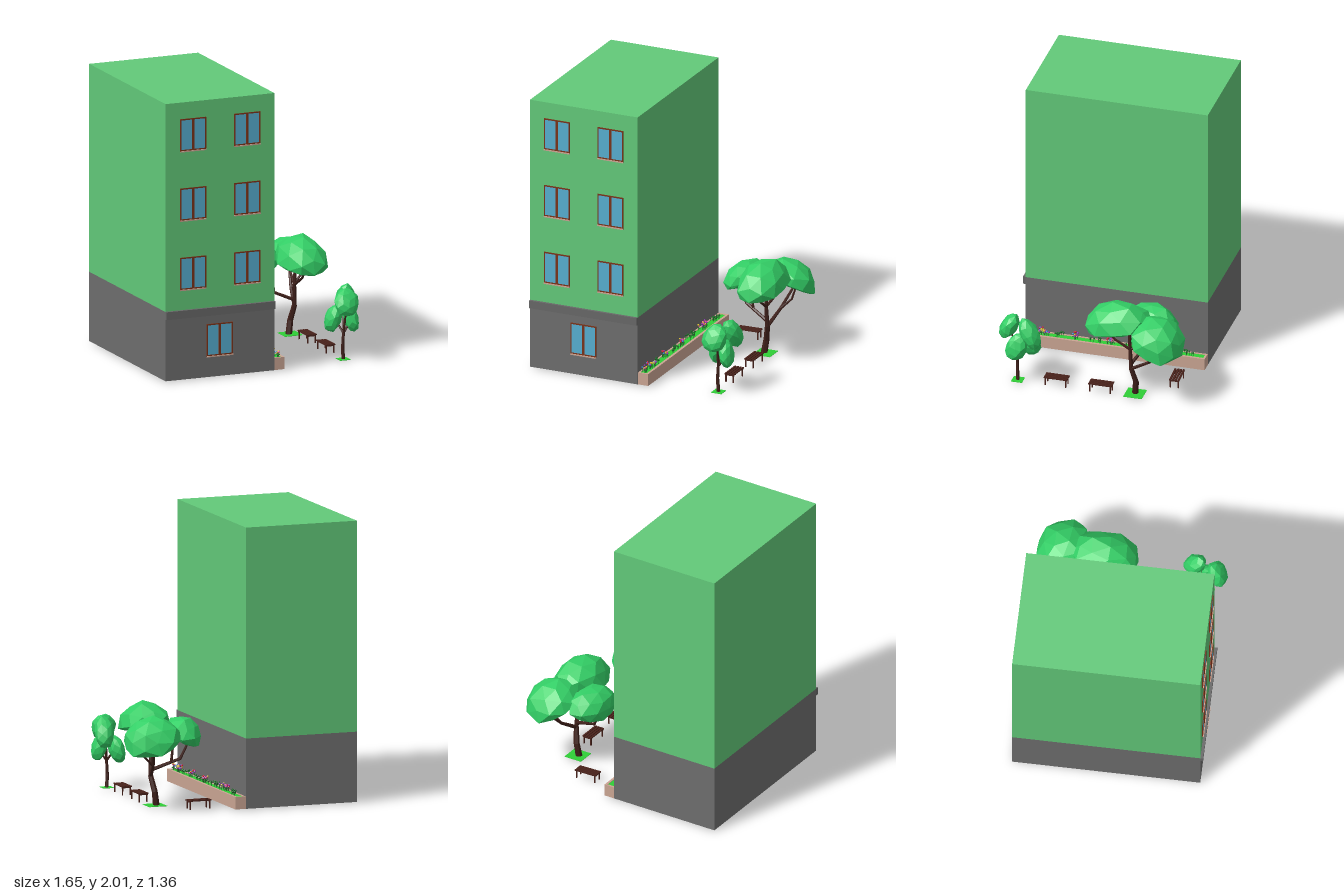
import * as THREE from 'three';

const mat = (color, flatShading = false) => {
  const m = new THREE.MeshStandardMaterial({ color });
  m.flatShading = flatShading;
  return m;
};
const M = {
  wall: mat(0x62c979), plinth: mat(0x6e6e6e), ledge: mat(0x686868),
  frame: mat(0x7a3218), glass: mat(0x57aed0), stone: mat(0xcaa593),
  grass: mat(0x2fcf36), bench: mat(0x4a221b), bark: mat(0x40201a, true),
  leaf: mat(0x33cf66, true), stem: mat(0x1f6b2a, true),
};
const PETALS = [0xd8213f, 0x9a35c8, 0xe0559a, 0x3d8fe0, 0xe0c030].map(c => mat(c, true));

let seed = 7;
const rand = () => (seed = (seed * 16807) % 2147483647) / 2147483647;

function add(parent, name, geometry, material, x = 0, y = 0, z = 0) {
  const mesh = new THREE.Mesh(geometry, material);
  mesh.name = name;
  mesh.position.set(x, y, z);
  parent.add(mesh);
  return mesh;
}

// box given by its min and max corners
function box(parent, name, material, x0, x1, y0, y1, z0, z1) {
  return add(parent, name, new THREE.BoxGeometry(x1 - x0, y1 - y0, z1 - z0), material,
    (x0 + x1) / 2, (y0 + y1) / 2, (z0 + z1) / 2);
}

function group(parent, name, x = 0, y = 0, z = 0) {
  const g = new THREE.Group();
  g.name = name;
  g.position.set(x, y, z);
  parent.add(g);
  return g;
}

// two-pane window, origin at its bottom centre on the wall
function window_(parent, x, y) {
  const g = group(parent, 'window', x, y, 0.645);
  const w = 0.1, h = 0.235, t = 0.009;
  box(g, 'glass', M.glass, -w + t, w - t, t, h - t, 0, 0.003);
  for (const s of [-1, 1]) {
    const e = s * (w - t / 2);
    box(g, 'frameSide', M.frame, e - t / 2, e + t / 2, 0, h, 0, 0.006);
  }
  box(g, 'mullion', M.frame, -0.009, 0.009, 0, h, 0, 0.006);
  box(g, 'frameTop', M.frame, -w, w, h - t, h, 0, 0.006);
  box(g, 'frameBottom', M.frame, -w, w, 0.004, t + 0.004, 0, 0.006);
  box(g, 'sill', M.stone, -w, w, -0.003, 0.005, 0, 0.012);
}

// slatted bench, long along local x
function bench(parent, x, z, turn) {
  const g = group(parent, 'bench', x, 0, z);
  g.rotation.y = turn;
  for (let i = 0; i < 4; i++) {
    const c = -0.03 + i * 0.02;
    box(g, 'slat', M.bench, -0.085, 0.085, 0.057, 0.065, c - 0.007, c + 0.007);
  }
  for (const s of [-1, 1]) {
    const c = s * 0.074;
    box(g, 'crossbar', M.bench, c - 0.004, c + 0.004, 0.049, 0.057, -0.034, 0.034);
    for (const d of [-0.029, 0.029])
      box(g, 'leg', M.bench, c - 0.004, c + 0.004, 0, 0.05, d - 0.004, d + 0.004);
  }
}

// tapering, kinked limb through a few points
function limb(parent, name, pts, r0, r1) {
  const up = new THREE.Vector3(0, 1, 0), n = pts.length - 1;
  const radius = i => r0 + (r1 - r0) * i / n;
  for (let i = 0; i < n; i++) {
    const a = new THREE.Vector3(...pts[i]), b = new THREE.Vector3(...pts[i + 1]);
    const d = b.clone().sub(a), len = d.length();
    const m = add(parent, name, new THREE.CylinderGeometry(radius(i + 1), radius(i), len + 0.006, 6), M.bark);
    m.position.copy(a).add(b).multiplyScalar(0.5);
    m.quaternion.setFromUnitVectors(up, d.normalize());
  }
}

// faceted crown; "under" squashes its lower half
function crown(parent, pos, size, rot, under) {
  const geo = new THREE.IcosahedronGeometry(1, 1), p = geo.attributes.position;
  for (let i = 0; i < p.count; i++) {
    const x = p.getX(i), y = p.getY(i), z = p.getZ(i);
    const k = 1 + 0.05 * Math.sin(5 * x + 3 * y + 4 * z);
    p.setXYZ(i, x * k * size[0], (y < 0 ? y * under : y) * k * size[1], z * k * size[2]);
  }
  geo.computeVertexNormals();
  add(parent, 'foliage', geo, M.leaf, ...pos).rotation.set(...rot);
}

function grassPatch(parent, x, z, s) {
  box(parent, 'grassPatch', M.grass, x - s / 2, x + s / 2, 0, 0.003, z - s / 2, z + s / 2);
}

function largeTree(parent) {
  const g = group(parent, 'largeTree');
  grassPatch(g, 0.54, -0.31, 0.135);
  const fork = [0.565, 0.21, -0.29], upper = [0.56, 0.36, -0.28];
  limb(g, 'trunk', [[0.53, 0, -0.31], [0.545, 0.1, -0.318], fork], 0.024, 0.018);
  limb(g, 'branch', [fork, upper, [0.57, 0.58, -0.275]], 0.016, 0.01);
  limb(g, 'branch', [upper, [0.57, 0.43, -0.17], [0.57, 0.52, -0.09]], 0.011, 0.007);
  limb(g, 'branch', [fork, [0.6, 0.3, -0.43], [0.65, 0.45, -0.58]], 0.014, 0.008);
  limb(g, 'branch', [[0.6, 0.3, -0.43], [0.68, 0.38, -0.45], [0.71, 0.48, -0.46]], 0.01, 0.006);
  limb(g, 'branch', [upper, [0.59, 0.43, -0.43], [0.6, 0.51, -0.5]], 0.01, 0.006);
  limb(g, 'branch', [[0.562, 0.25, -0.29], [0.37, 0.33, -0.36], [0.31, 0.46, -0.38]], 0.013, 0.007);
  limb(g, 'branch', [[0.43, 0.305, -0.34], [0.42, 0.42, -0.35], [0.41, 0.52, -0.36]], 0.01, 0.006);
  crown(g, [0.575, 0.545, -0.195], [0.175, 0.185, 0.25], [0.2, 0, 0], 0.15);
  crown(g, [0.63, 0.49, -0.49], [0.205, 0.165, 0.2], [-0.4, 0, -0.3], 0.15);
  crown(g, [0.375, 0.495, -0.385], [0.14, 0.145, 0.2], [0, -0.3, 0.5], 0.25);
}

function smallTree(parent) {
  const g = group(parent, 'smallTree');
  grassPatch(g, 0.575, 0.535, 0.08);
  const fork = [0.575, 0.19, 0.54];
  limb(g, 'trunk', [[0.575, 0, 0.535], [0.57, 0.1, 0.54], fork], 0.013, 0.01);
  limb(g, 'branch', [fork, [0.59, 0.3, 0.51], [0.62, 0.42, 0.45]], 0.009, 0.005);
  limb(g, 'branch', [fork, [0.58, 0.3, 0.56], [0.575, 0.4, 0.59]], 0.009, 0.005);
  limb(g, 'branch', [fork, [0.55, 0.25, 0.5], [0.53, 0.3, 0.47]], 0.008, 0.005);
  limb(g, 'branch', [fork, [0.61, 0.24, 0.54], [0.64, 0.29, 0.53]], 0.008, 0.005);
  crown(g, [0.635, 0.41, 0.43], [0.07, 0.13, 0.065], [0.5, 0, 0.1], 0.9);
  crown(g, [0.575, 0.42, 0.6], [0.09, 0.11, 0.06], [-0.5, 0, -0.2], 0.9);
  crown(g, [0.53, 0.28, 0.46], [0.055, 0.11, 0.075], [0.3, 0, -0.25], 0.9);
  crown(g, [0.635, 0.29, 0.53], [0.05, 0.11, 0.075], [-0.3, 0, 0.2], 0.9);
}

// planter trough with grass and clumps of plants along the side wall
function planter(parent) {
  const g = group(parent, 'planter');
  const z0 = -0.685, z1 = 0.642;
  box(g, 'planterBase', M.stone, 0, 0.08, 0, 0.07, z0, z1);
  box(g, 'innerRim', M.stone, 0, 0.013, 0.07, 0.088, z0, z1);
  box(g, 'outerRim', M.stone, 0.062, 0.08, 0.07, 0.088, z0, z1);
  box(g, 'frontRim', M.stone, 0.013, 0.062, 0.07, 0.088, z1 - 0.015, z1);
  box(g, 'backRim', M.stone, 0.013, 0.062, 0.07, 0.088, z0, z0 + 0.015);
  box(g, 'grassStrip', M.grass, 0.013, 0.062, 0.07, 0.084, z0 + 0.015, z1 - 0.015);

  // [z, half length, plants, in bloom]
  const clumps = [
    [-0.56, 0.045, 10, 0], [-0.36, 0.06, 20, 1], [-0.16, 0.06, 14, 0], [0.01, 0.03, 9, 1],
    [0.125, 0.04, 9, 0], [0.27, 0.02, 8, 1], [0.39, 0.025, 8, 0], [0.5, 0.04, 15, 1], [0.595, 0.025, 10, 1],
  ];
  const stem = new THREE.CylinderGeometry(0.0012, 0.0016, 1, 4);
  const head = new THREE.IcosahedronGeometry(0.0075, 0);
  for (const [z, half, count, bloom] of clumps) {
    const c = group(g, bloom ? 'flowerClump' : 'leafyClump', 0.036, 0.084, z);
    for (let i = 0; i < count; i++) {
      const x = (rand() - 0.5) * 0.042, dz = (rand() * 2 - 1) * half;
      const h = (bloom ? 0.028 : 0.016) + rand() * 0.016;
      add(c, 'stem', stem, M.stem, x, h / 2, dz).scale.y = h;
      add(c, bloom ? 'flower' : 'leaf', head, bloom ? PETALS[Math.floor(rand() * 5)] : M.stem, x, h, dz);
      if (bloom) add(c, 'leaf', head, M.stem, x + 0.004, h * 0.45, dz).scale.set(0.9, 0.4, 0.9);
    }
  }
}

export function createModel() {
  const root = new THREE.Group();
  root.name = 'apartmentBlock';

  // building
  box(root, 'groundFloor', M.plinth, -0.835, 0, 0, 0.5, -0.685, 0.645);
  box(root, 'upperFloors', M.wall, -0.835, 0, 0.5, 2, -0.685, 0.645);
  box(root, 'ledge', M.ledge, -0.835, 0, 0.445, 0.502, 0.645, 0.665);
  for (const y of [0.645, 1.145, 1.645])
    for (const x of [-0.625, -0.21]) window_(root, x, y);
  window_(root, -0.42, 0.147);

  // garden
  planter(root);
  bench(root, 0.305, -0.548, 0.04);
  bench(root, 0.565, 0.255, Math.PI / 2);
  bench(root, 0.565, -0.07, Math.PI / 2);
  largeTree(root);
  smallTree(root);
  return root;
}
